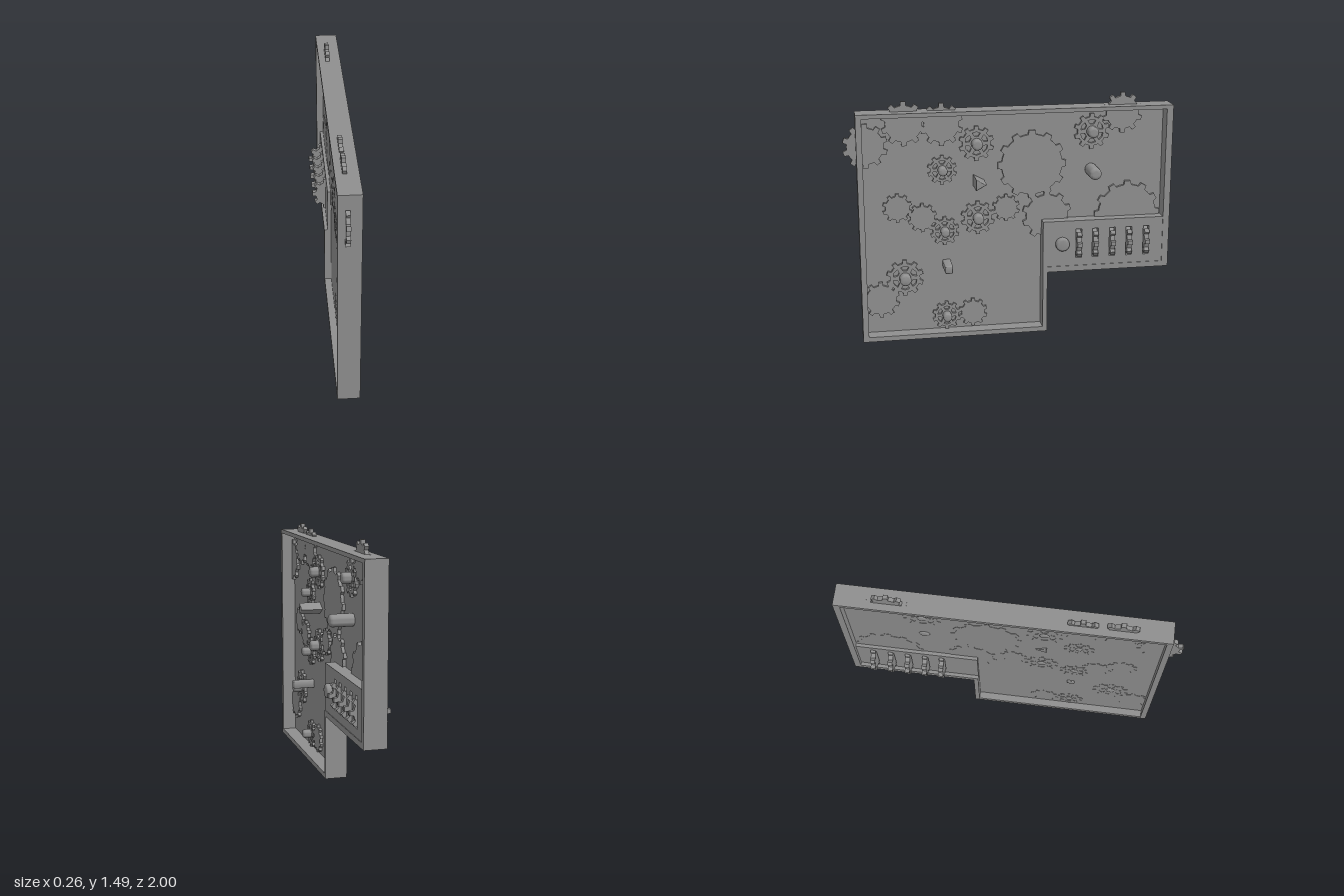
import * as THREE from 'three';
import { toCreasedNormals } from 'three/addons/utils/BufferGeometryUtils.js';

const material = new THREE.MeshStandardMaterial({ color: 0x8f8f8f });
const MID = -0.0125; // depth of the gear layer

// Shapes lie in a (-z, y) plane and are extruded along x.
const toPoints = (pts) => pts.map(([z, y]) => new THREE.Vector2(-z, y));
const shapeOf = (pts) => new THREE.Shape(toPoints(pts));

function add(parent, name, geometry, s = 0, y = 0, d = 0) {
  const mesh = new THREE.Mesh(toCreasedNormals(geometry, 0.6), material);
  mesh.name = name;
  mesh.position.set(s, y, d);
  parent.add(mesh);
  return mesh;
}

const slab = (shape, from, to) =>
  new THREE.ExtrudeGeometry(shape, { depth: to - from, bevelEnabled: false }).translate(0, 0, from);

// Rod or button with rounded ends
const rounded = (shape, from, to, bevel) =>
  new THREE.ExtrudeGeometry(shape, {
    depth: to - from - 2 * bevel, bevelThickness: bevel, bevelSize: bevel,
    bevelOffset: -bevel, bevelSegments: 5, curveSegments: 12,
  }).translate(0, 0, from + bevel);

const disc = (r) => new THREE.Shape().absarc(0, 0, r, 0, Math.PI * 2);

function roundedSquare(half, r) {
  const c = half - r;
  const s = new THREE.Shape();
  [[c, -c], [c, c], [-c, c], [-c, -c]].forEach(([x, y], i) =>
    s.absarc(x, y, r, (i - 1) * Math.PI / 2, i * Math.PI / 2));
  return s;
}

const polar = (r, a) => new THREE.Vector2(r * Math.cos(a), r * Math.sin(a));

// Toothed outline, optionally with a ring of spoke openings
function gearShape(R, teeth, spokes = 0) {
  const root = R - Math.min(0.025, R * 0.19);
  const step = (Math.PI * 2) / teeth;
  const pts = [];
  for (let i = 0; i < teeth; i++) {
    const a = i * step;
    pts.push(polar(root, a - step * 0.25), polar(R, a - step * 0.17), polar(R, a + step * 0.17));
    pts.push(polar(root, a + step * 0.25), polar(root, a + step * 0.5));
  }
  const shape = new THREE.Shape(pts);
  for (let i = 0; i < spokes; i++) {
    const a = (i * Math.PI * 2) / spokes;
    const w = Math.PI / spokes;
    shape.holes.push(new THREE.Path([
      polar(R * 0.42, a - w * 0.45), polar(R * 0.64, a - w * 0.7), polar(R * 0.67, a),
      polar(R * 0.64, a + w * 0.7), polar(R * 0.42, a + w * 0.45),
    ]));
  }
  return shape;
}

export function createModel() {
  const model = new THREE.Group();
  model.name = 'gearPuzzleBoard';
  const board = new THREE.Group();
  board.name = 'board';
  board.rotation.y = Math.PI / 2; // local x is -z, local z is x
  model.add(board);

  // Frame: stepped rim around a thin plate set near mid depth
  const outline = shapeOf([[0.92, 0], [-0.228, 0], [-0.228, 0.39], [-1, 0.39], [-1, 1.42], [0.92, 1.42]]);
  const inside = [[0.885, 0.03], [-0.2, 0.03], [-0.2, 0.425], [-0.96, 0.425], [-0.96, 1.395], [0.885, 1.395]];
  outline.holes.push(shapeOf(inside));
  add(board, 'frame', slab(outline, -0.067, 0.067));
  add(board, 'backPlate', slab(shapeOf(inside), -0.023, -0.019));

  // Plain gears: z, y, radius, teeth
  const plain = [
    [0.865, 1.217, 0.135, 10], [0.635, 1.345, 0.135, 10], [0.41, 1.333, 0.13, 10],
    [-0.14, 1.067, 0.212, 12], [-0.70, 1.37, 0.125, 10], [-0.745, 0.73, 0.208, 12],
    [-0.235, 0.74, 0.155, 10], [0.02, 0.80, 0.085, 10], [0.535, 0.76, 0.09, 10],
    [0.685, 0.828, 0.09, 10], [0.80, 0.245, 0.115, 10], [0.23, 0.13, 0.09, 10],
  ];
  for (const [z, y, R, n] of plain) {
    const gear = add(board, 'plainGear', slab(gearShape(R, n), -0.0125, 0.0125), -z, y, MID);
    gear.rotation.z = Math.PI / 2;
  }

  // Spoked gears with a rounded hub: z, y, radius
  const spoked = [
    [0.2, 1.21, 0.107], [0.41, 1.055, 0.09], [-0.51, 1.26, 0.11], [0.195, 0.745, 0.105],
    [0.40, 0.67, 0.09], [0.65, 0.38, 0.115], [0.395, 0.12, 0.09],
  ];
  for (const [z, y, R] of spoked) {
    const group = new THREE.Group();
    group.name = 'spokedGear';
    group.position.set(-z, y, 0);
    board.add(group);
    add(group, 'spokedWheel', slab(gearShape(R, 10, 6), -0.0125, 0.0125), 0, 0, MID).rotation.z = Math.PI / 2;
    add(group, 'hub', rounded(disc(R * 0.31), -0.03, 0.054, 0.015));
  }

  // Push buttons: round, triangular and square
  add(board, 'roundButton', rounded(disc(0.038), -0.03, 0.127, 0.02), 0.51, 1.02);
  const triangle = new THREE.Shape([[-0.03, -0.036], [0.036, 0], [-0.03, 0.036]].map((p) => new THREE.Vector2(...p)));
  add(board, 'triangleButton', rounded(triangle, -0.03, 0.114, 0.008), -0.19, 0.98);
  add(board, 'squareButton', rounded(roundedSquare(0.025, 0.01), -0.03, 0.118, 0.01), -0.39, 0.457);

  // Control panel with slots, a thumb wheel turning in each, and a knob
  const wheels = [-0.426, -0.53, -0.638, -0.745, -0.855];
  const panel = shapeOf([[-0.2, 0.41], [-0.98, 0.41], [-0.98, 0.715], [-0.2, 0.715]]);
  for (const z of wheels) {
    const [a, b] = [z - 0.019, z + 0.019];
    panel.holes.push(new THREE.Path(toPoints([[a, 0.475], [b, 0.475], [b, 0.66], [a, 0.66]])));
    const wheel = add(board, 'thumbWheel', slab(gearShape(0.118, 10), -0.015, 0.015), -z, 0.565, MID);
    wheel.rotation.y = Math.PI / 2;
  }
  add(board, 'controlPanel', slab(panel, -0.045, 0.063));
  add(board, 'panelKnob', rounded(disc(0.043), 0.05, 0.095, 0.014), 0.32, 0.57);
  return model;
}
